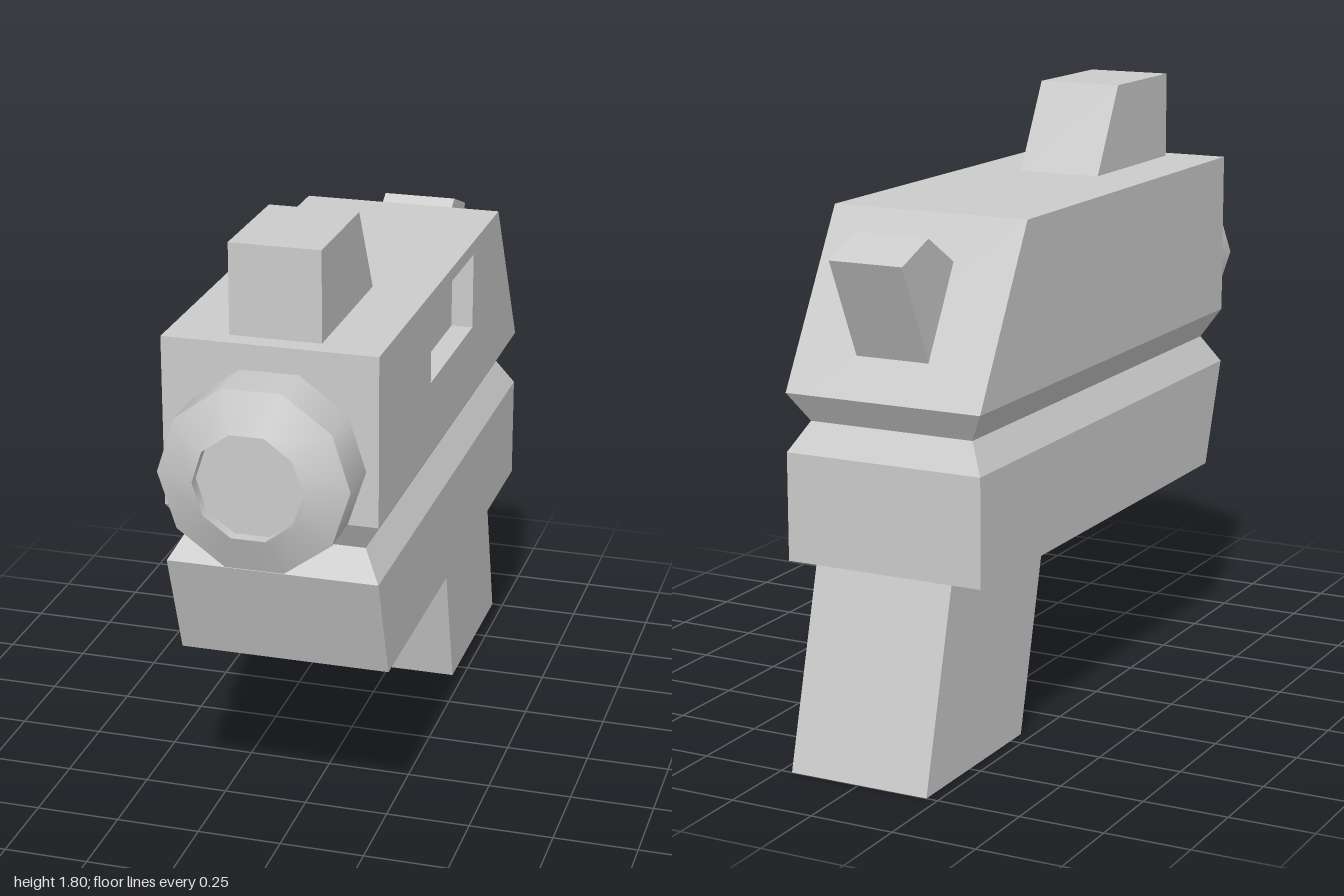
import * as THREE from 'three';

const material = new THREE.MeshStandardMaterial({ color: 0xcccccc, flatShading: true });
const smooth = new THREE.MeshStandardMaterial({ color: 0xcccccc });

function mesh(name, geometry, mat = material) {
  const m = new THREE.Mesh(geometry, mat);
  m.name = name;
  return m;
}

// Side profile of [z, y] points, extruded across x from x0 to x1
function slab(name, points, x0, x1, hole) {
  const toVectors = (list) => list.map(([z, y]) => new THREE.Vector2(z, y));
  const shape = new THREE.Shape(toVectors(points));
  if (hole) shape.holes.push(new THREE.Path(toVectors(hole)));
  const geometry = new THREE.ExtrudeGeometry(shape, { depth: x1 - x0, bevelEnabled: false });
  geometry.rotateY(-Math.PI / 2).translate(x1, 0, 0);
  return mesh(name, geometry);
}

// Rectangular cross-sections [y, half width, back z, front z], listed bottom to top
function loft(name, rows) {
  const positions = [];
  const ring = ([y, w, back, front]) => [[w, y, front], [w, y, back], [-w, y, back], [-w, y, front]];
  const quad = (a, b, c, d) => positions.push(...a, ...b, ...c, ...a, ...c, ...d);
  const rings = rows.map(ring);
  for (let i = 0; i < rings.length - 1; i++) {
    for (let k = 0; k < 4; k++) {
      const n = (k + 1) % 4;
      quad(rings[i][k], rings[i][n], rings[i + 1][n], rings[i + 1][k]);
    }
  }
  const [a, b, c, d] = rings[0];
  quad(d, c, b, a);
  const [e, f, g, h] = rings[rings.length - 1];
  quad(e, f, g, h);
  const geometry = new THREE.BufferGeometry();
  geometry.setAttribute('position', new THREE.Float32BufferAttribute(positions, 3));
  geometry.computeVertexNormals();
  return mesh(name, geometry);
}

// Ten-sided band along z, from radius r0 at z0 to radius r1 at z1
function band(name, r0, z0, r1, z1, mat = smooth) {
  const geometry = new THREE.CylinderGeometry(r1, r0, z1 - z0, 10, 1, true, Math.PI / 2);
  geometry.rotateX(Math.PI / 2).translate(0, 1.21, (z0 + z1) / 2);
  return mesh(name, geometry, mat);
}

export function createModel() {
  const group = new THREE.Group();
  group.name = 'blaster';

  // Upper body: solid core plus a side plate with the window cut through it
  const upper = [[0.8, 1.05], [0.8, 1.54], [-0.57, 1.54], [-0.85, 1.05]];
  const window = [[0.25, 1.27], [-0.25, 1.27], [-0.25, 1.5], [0.25, 1.5]];
  group.add(slab('upperBody', upper, -0.305, 0.24));
  group.add(slab('windowPlate', upper, 0.24, 0.305, window));

  // Lower body with the pinched groove under the upper body
  group.add(loft('lowerBody', [
    [0.565, 0.305, -0.85, 0.69],
    [0.88, 0.305, -0.85, 0.8],
    [0.965, 0.255, -0.8, 0.75],
    [1.05, 0.305, -0.85, 0.8],
  ]));

  // Grip, front sight and hammer
  group.add(slab('grip', [[-0.29, 0.565], [-0.85, 0.565], [-1, 0], [-0.435, 0]], -0.215, 0.215));
  group.add(slab('sight', [[0.74, 1.54], [0.74, 1.8], [0.38, 1.8], [0.24, 1.54]], -0.13, 0.13));
  group.add(slab('hammer', [[-0.64, 1.42], [-0.78, 1.505], [-0.925, 1.45], [-0.785, 1.16]], -0.113, 0.113));

  // Muzzle: barrel, bevel, shallow bore and its floor
  const muzzle = new THREE.Group();
  muzzle.name = 'muzzle';
  const inner = smooth.clone();
  inner.side = THREE.DoubleSide;
  muzzle.add(band('barrel', 0.27, 0.78, 0.27, 0.95));
  muzzle.add(band('bevel', 0.27, 0.95, 0.155, 1));
  muzzle.add(band('bore', 0.155, 0.965, 0.155, 1, inner));
  const floor = mesh('boreFloor', new THREE.CircleGeometry(0.155, 10));
  floor.position.set(0, 1.21, 0.965);
  muzzle.add(floor);
  // Back cap closing the barrel below the upper body
  const back = mesh('barrelBack', new THREE.CircleGeometry(0.27, 10).rotateY(Math.PI));
  back.position.set(0, 1.21, 0.78);
  muzzle.add(back);
  group.add(muzzle);

  return group;
}
